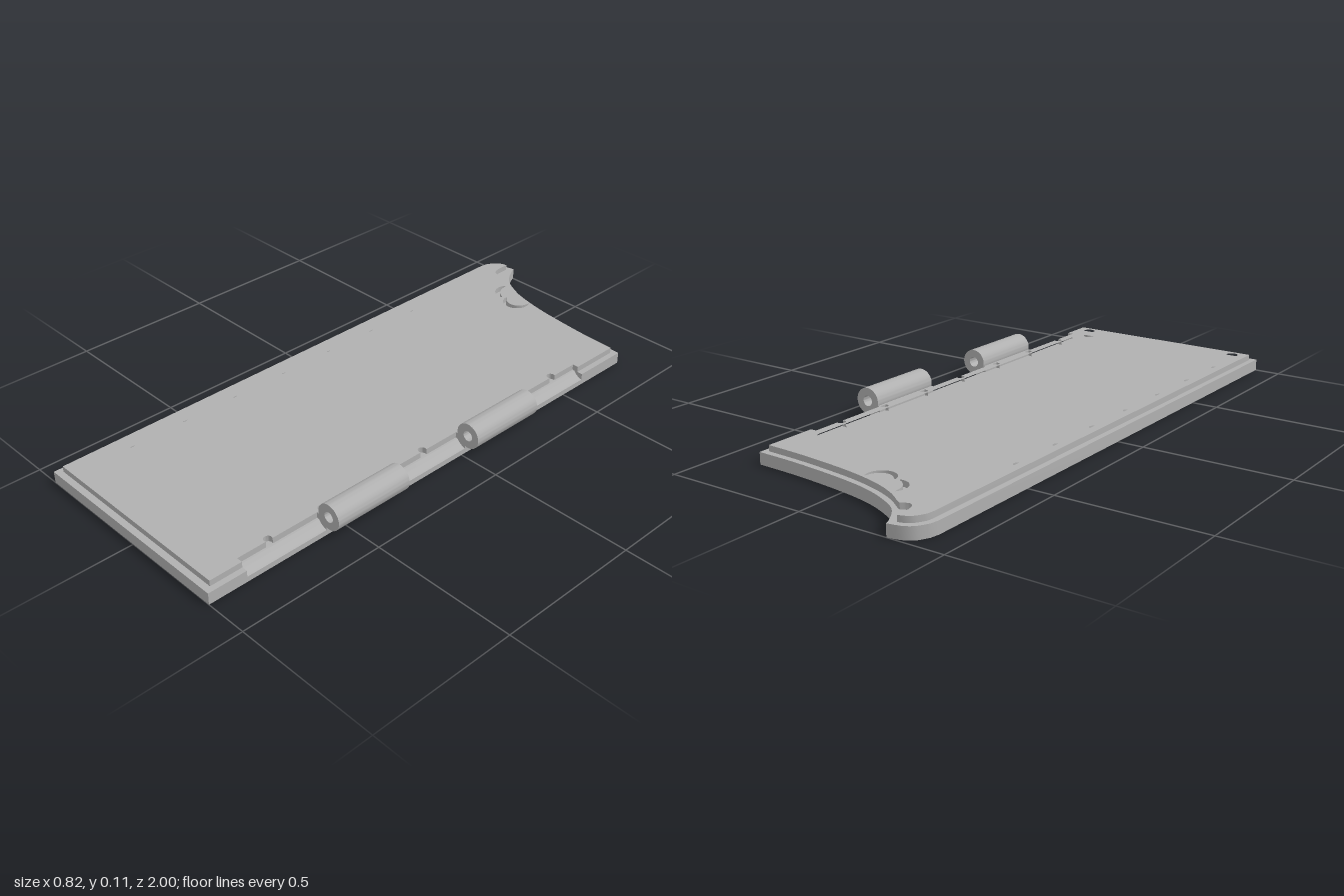
import * as THREE from 'three';
import { toCreasedNormals } from 'three/addons/utils/BufferGeometryUtils.js';

const BASE_TOP = 0.04, TOP = 0.06;
const HINGE = { x: 0.365, y: 0.07, outer: 0.044, bore: 0.018, clearance: 0.053 };
const SEAT_X = 0.314, SEAT_START = -0.595, SEAT_END = 0.865;
const BARRELS = [[-0.295, -0.015], [0.285, 0.57]];
const RECESSES = [[-0.595, -0.295], [-0.015, 0.285], [0.57, 0.865]];
const SCREW_Z = [-0.485, -0.28, -0.075, 0.13, 0.34, 0.545, 0.75];

const v = (x, y) => new THREE.Vector2(x, y);

// Points along an arc, angles in degrees
function arc(cx, cy, r, from, to, n = 10) {
  return Array.from({ length: n + 1 }, (_, i) => {
    const a = THREE.MathUtils.degToRad(from + (to - from) * i / n);
    return v(cx + r * Math.cos(a), cy + r * Math.sin(a));
  });
}

const curve = (pairs, n = 28) => new THREE.SplineCurve(pairs.map(p => v(...p))).getPoints(n);
const circle = (x, z, r) => arc(x, z, r, 0, 345, 23);

// Plan outline in (x, z), raised from y0 to y1
function slab(outline, holes, y0, y1) {
  const flip = pts => pts.map(p => v(p.x, -p.y));
  const shape = new THREE.Shape(flip(outline));
  shape.holes = holes.map(h => new THREE.Path(flip(h)));
  const g = new THREE.ExtrudeGeometry(shape, { depth: y1 - y0, bevelEnabled: false });
  g.rotateX(-Math.PI / 2).translate(0, y0, 0);
  return toCreasedNormals(g, 0.5);
}

// Section in (x, y), run along z
function bar(section, z0, z1, hole) {
  const shape = new THREE.Shape(section);
  if (hole) shape.holes.push(new THREE.Path(hole));
  const g = new THREE.ExtrudeGeometry(shape, { depth: z1 - z0, bevelEnabled: false });
  return toCreasedNormals(g.translate(0, 0, z0), 0.5);
}

// Crescent cutout, widest halfway along its sweep
function crescent(cx, cz, r, from, to, width) {
  const outer = arc(cx, cz, r, from, to, 24);
  const inner = outer.slice(1, -1).map((p, i) => {
    const k = 1 - width * Math.sin(Math.PI * (i + 1) / 24) ** 0.6 / r;
    return v(cx + (p.x - cx) * k, cz + (p.y - cz) * k);
  });
  return [...outer, ...inner.reverse()];
}

function roundedWindow(x0, x1, z0, z1, r) {
  return [
    ...arc(x1 - r, z1 - r, r, 0, 90, 6), ...arc(x0 + r, z1 - r, r, 90, 180, 6),
    ...arc(x0 + r, z0 + r, r, 180, 270, 6), ...arc(x1 - r, z0 + r, r, 270, 360, 6),
  ];
}

export function createModel() {
  const group = new THREE.Group();
  const grey = new THREE.MeshStandardMaterial({ color: 0xb0b0b0 });
  grey.name = 'plain grey';
  const add = (name, geometry) => {
    const mesh = new THREE.Mesh(geometry, grey);
    mesh.name = name;
    group.add(mesh);
  };

  // Base plate with a hooked, swept back edge
  add('basePlate', slab([
    v(-0.41, 1), v(-0.41, -0.905),
    ...curve([[-0.405, -0.935], [-0.385, -0.97], [-0.355, -0.99], [-0.31, -1]], 10),
    ...curve([[-0.305, -0.985], [-0.275, -0.935], [-0.23, -0.895], [-0.127, -0.85],
      [0, -0.823], [0.19, -0.802], [0.355, -0.795]]),
    v(0.355, SEAT_START), v(SEAT_X, SEAT_START), v(SEAT_X, SEAT_END), v(0.355, SEAT_END), v(0.355, 1),
  ], [], 0, BASE_TOP));

  // Raised frame: window, screw holes, hinge seat and decorative cutouts
  const seatEdge = SCREW_Z.flatMap(z => arc(0.308, z, 0.014, -64, -296, 12));
  const screwHoles = SCREW_Z.map(z => circle(-0.365, z, 0.014));
  const teardrop = [v(0.04, -0.728), v(0.125, -0.757), ...arc(0.138, -0.737, 0.018, -70, 60, 8),
    v(0.125, -0.711), v(0.043, -0.713)];
  add('raisedFrame', slab([
    v(-0.39, 0.978), v(-0.39, -0.9),
    ...curve([[-0.387, -0.925], [-0.37, -0.955], [-0.35, -0.97], [-0.328, -0.977]], 8),
    ...curve([[-0.328, -0.93], [-0.32, -0.905], [-0.302, -0.895], [-0.28, -0.908]], 10),
    ...curve([[-0.265, -0.9], [-0.21, -0.864], [-0.127, -0.831], [0, -0.803],
      [0.19, -0.782], [0.335, -0.775]]),
    v(0.335, SEAT_START), v(SEAT_X, SEAT_START), ...seatEdge, v(SEAT_X, SEAT_END),
    v(0.335, SEAT_END), v(0.335, 0.978),
  ], [
    roundedWindow(-0.33, 0.285, -0.64, 0.88, 0.03),
    ...screwHoles,
    circle(-0.338, 0.942, 0.021), circle(0.285, 0.942, 0.021),
    circle(0, -0.723, 0.018), teardrop,
    crescent(-0.18, -0.82, 0.048, 220, 75, 0.019),
    crescent(-0.11, -0.785, 0.048, 180, -30, 0.021),
  ], BASE_TOP, TOP));

  // Concave hinge recesses along the right edge
  const { x, y, outer, bore, clearance } = HINGE;
  for (const [z0, z1] of RECESSES) {
    add('hingeRecess', bar([
      v(SEAT_X, 0), v(0.355, 0), ...arc(x, y, clearance, 259, 215, 10), v(SEAT_X, BASE_TOP),
    ], z0, z1));
  }

  // Hinge barrels, each on a solid foot
  for (const [z0, z1] of BARRELS) {
    add('hingeBarrel', bar(arc(x, y, outer, 0, 352.5, 47), z0, z1, arc(x, y, bore, 0, 348.75, 31)));
    add('hingeFoot', bar([
      v(SEAT_X, 0), v(0.355, 0), v(0.355, BASE_TOP), v(0.335, BASE_TOP), v(0.335, TOP), v(SEAT_X, TOP),
    ], z0, z1));
  }
  return group;
}
